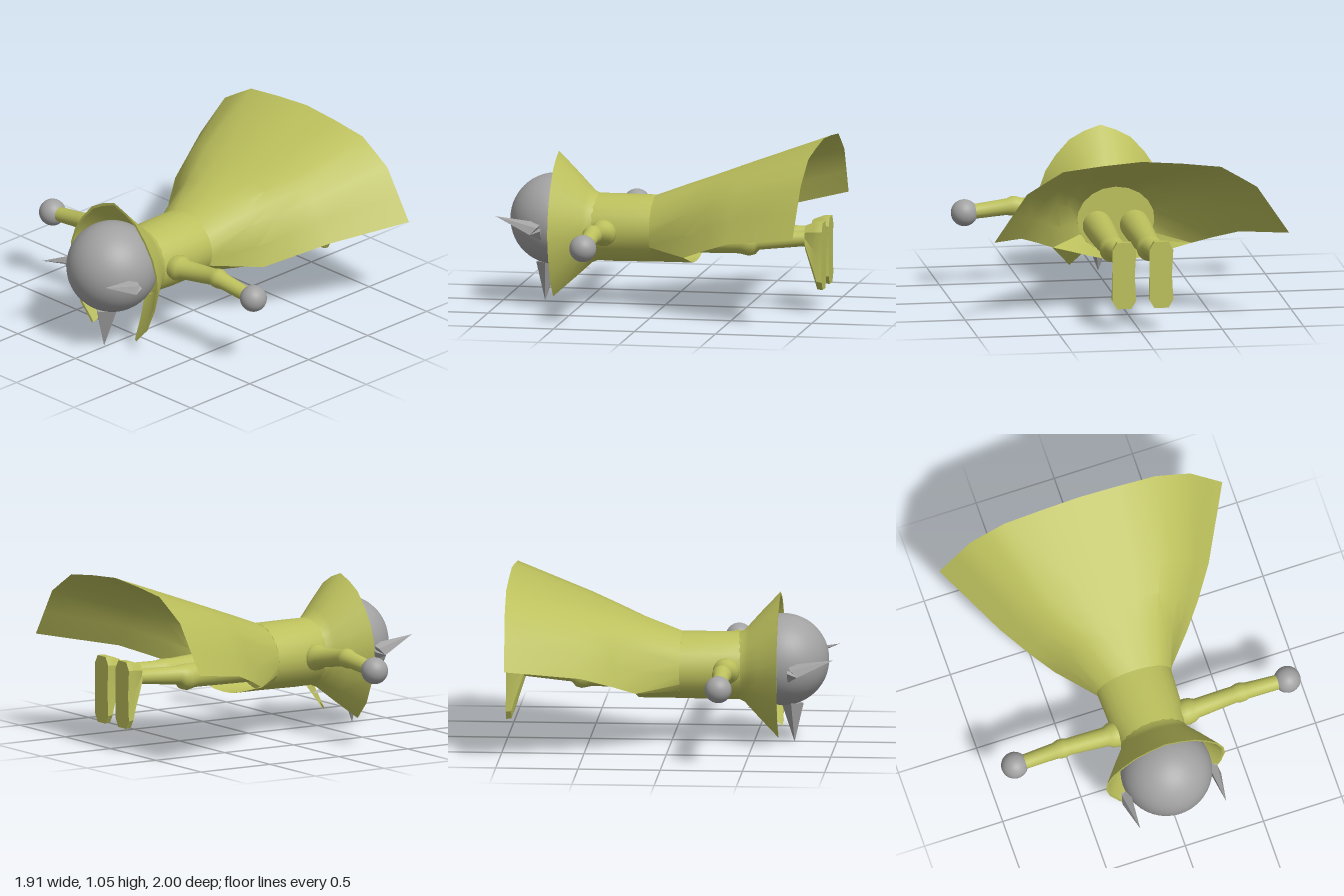
import * as THREE from 'three';
import { toCreasedNormals } from 'three/addons/utils/BufferGeometryUtils.js';
import { ConvexGeometry } from 'three/addons/geometries/ConvexGeometry.js';

const V = (x, y, z) => new THREE.Vector3(x, y, z);
const CX = -0.013; // body midline

// Skin a list of equal-sized rings (ordered towards +z, counter-clockwise seen from +z)
function loft(rings, { closed = true, crease = 0.7 } = {}) {
  const n = rings[0].length, pos = [];
  const tri = (...ps) => ps.forEach((p) => pos.push(p.x, p.y, p.z));
  for (let i = 0; i < rings.length - 1; i++) {
    for (let j = 0; j < (closed ? n : n - 1); j++) {
      const k = (j + 1) % n, a = rings[i], b = rings[i + 1];
      tri(a[j], a[k], b[j]);
      tri(a[k], b[k], b[j]);
    }
  }
  if (closed) {
    const first = rings[0], last = rings[rings.length - 1];
    for (let j = 1; j < n - 1; j++) {
      tri(first[0], first[j + 1], first[j]);
      tri(last[0], last[j], last[j + 1]);
    }
  }
  const g = new THREE.BufferGeometry();
  g.setAttribute('position', new THREE.Float32BufferAttribute(pos, 3));
  return toCreasedNormals(g, crease);
}

function ellipse(cx, cy, z, rx, ry = rx, n = 24) {
  return Array.from({ length: n }, (_, i) => {
    const a = (i / n) * Math.PI * 2;
    return V(cx + rx * Math.cos(a), cy + ry * Math.sin(a), z);
  });
}

// Mirror a half outline (centre point first) into a full open arch, from +x round to -x
function arch(half) {
  return [...half.slice(1).reverse(), ...half.map((p) => V(-p.x, p.y, p.z))];
}

export function createModel() {
  const olive = new THREE.MeshStandardMaterial({ color: 0xbcc05c, side: THREE.DoubleSide });
  olive.name = 'olive cloth';
  const grey = new THREE.MeshStandardMaterial({ color: 0xa2a2a2 });
  grey.name = 'grey skin';

  const model = new THREE.Group();
  const body = new THREE.Group();
  body.name = 'body';
  body.position.x = CX;
  model.add(body);
  const add = (name, geo, mat, parent = body) => {
    const m = new THREE.Mesh(geo, mat);
    m.name = name;
    parent.add(m);
    return m;
  };
  const hull = (pts) => new ConvexGeometry(pts.map((p) => V(...p)));

  // Head and pointed beard
  add('head', new THREE.SphereGeometry(0.279, 40, 28), grey).position.set(0, 0.509, 0.676);
  add('beard', hull([[0, 0, 0.745], [0.092, 0.25, 0.73], [-0.092, 0.25, 0.73],
    [0, 0.24, 0.80], [0.03, 0.24, 0.67], [-0.03, 0.24, 0.67]]), grey);
  add('throatPlate', hull([[0, 0.205, 0.46], [0.06, 0.21, 0.6], [-0.06, 0.21, 0.6],
    [0, 0.25, 0.62], [0, 0.225, 0.5]]), grey);

  // Pointed ears
  for (const s of [1, -1]) {
    const ear = new THREE.Group();
    ear.name = s > 0 ? 'leftEar' : 'rightEar';
    body.add(ear);
    add('earSpike', hull([[s * 0.275, 0.557, 1.0], [s * 0.316, 0.453, 0.78],
      [s * 0.25, 0.52, 0.72], [s * 0.25, 0.465, 0.75], [s * 0.305, 0.495, 0.74]]), grey, ear);
    add('earLobe', hull([[s * 0.316, 0.453, 0.78], [s * 0.305, 0.475, 0.72],
      [s * 0.25, 0.408, 0.72], [s * 0.24, 0.5, 0.72]]), grey, ear);
  }

  // Torso
  const waist = (a) => V(0.238 * Math.sin(a), 0.468 + 0.203 * Math.cos(a), 0.06);
  add('torso', loft([
    ellipse(0, 0.468, 0.06, 0.238, 0.203), ellipse(0, 0.467, 0.3, 0.228, 0.206),
    ellipse(0, 0.468, 0.44, 0.203, 0.205),
  ]), olive);

  // Flared collar, split below the chin
  const rim = [[0, 0.925], [0.1, 0.89], [0.19, 0.84], [0.275, 0.745], [0.337, 0.65], [0.372, 0.55],
    [0.381, 0.45], [0.355, 0.32], [0.29, 0.168], [0.19, 0.06]];
  const neck = (i) => {
    const a = (i / (rim.length - 1)) * 2.9;
    return [0.2 * Math.sin(a), 0.468 + 0.205 * Math.cos(a)];
  };
  const collarRing = (z, t, k) => arch(rim.map(([x, y], i) => {
    const [nx, ny] = neck(i);
    return V((nx + (x - nx) * t) * k, 0.48 + (ny + (y - ny) * t - 0.48) * k, z);
  }));
  add('collar', loft([
    collarRing(0.41, 0, 1), collarRing(0.445, 0.07, 1), collarRing(0.475, 0.2, 1),
    collarRing(0.54, 0.49, 1), collarRing(0.66, 1, 1),
    collarRing(0.66, 1, 0.96), collarRing(0.54, 0.49, 0.96), collarRing(0.46, 0.1, 0.95),
  ], { closed: false }), olive);

  // Cape: grows out of the waist, widening and rising into a faceted arch
  const arc = [[0, 1], [0.27, 0.96], [0.535, 0.9], [0.66, 0.76], [0.78, 0.62],
    [0.89, 0.31], [1, 0]];
  const capeRing = ([z, w, low, high, lag]) => arch(arc.map(([x, y]) =>
    V(x * w, low + (high - low) * y, z - lag * y)));
  const waistTop = arch(arc.map((_, i) => waist((i / (arc.length - 1)) * 2)));
  add('cape', loft([
    ...[[-0.955, 0.905, 0.575, 1.05, 0.02], [-0.51, 0.668, 0.495, 0.882, 0],
      [-0.33, 0.54, 0.425, 0.816, 0], [-0.19, 0.425, 0.362, 0.765, 0]].map(capeRing),
    waistTop,
  ], { closed: false, crease: 0.6 }), olive);

  // Underside of the robe, open at the hem where the legs come out
  const hem = [[0, 0.275], [0.1, 0.28], [0.2, 0.302], [0.31, 0.332], [0.425, 0.362]];
  add('robeUnderside', loft([
    arch(hem.map(([x, y]) => V(x, y, -0.19))),
    arch(hem.map((_, i) => waist(Math.PI + (2 - Math.PI) * i / (hem.length - 1)))),
  ], { closed: false }), olive);

  for (const s of [1, -1]) {
    const side = s > 0 ? 'left' : 'right';

    // Arm, built along z and turned sideways
    const arm = new THREE.Group();
    arm.name = side + 'Arm';
    arm.position.z = 0.343;
    model.add(arm);
    const sleeve = loft([
      [0.18, 0.466, 0.07], [0.225, 0.468, 0.082], [0.262, 0.47, 0.076], [0.29, 0.474, 0.06],
      [0.53, 0.508, 0.052], [0.555, 0.511, 0.059], [0.585, 0.51, 0.059], [0.615, 0.506, 0.05],
      [0.83, 0.482, 0.045],
    ].map(([d, y, r]) => ellipse(0, y, d, r)));
    sleeve.rotateY(s * Math.PI / 2);
    add('sleeve', sleeve, olive, arm);
    add('hand', new THREE.SphereGeometry(0.082, 28, 20), grey, arm).position.set(s * 0.872, 0.478, 0);

    // Leg
    const leg = new THREE.Group();
    leg.name = side + 'Leg';
    leg.position.x = s * 0.114;
    body.add(leg);
    add('trouserLeg', loft([
      [-0.92, 0.452, 0.043], [-0.6, 0.432, 0.057], [-0.575, 0.42, 0.074], [-0.54, 0.416, 0.08],
      [-0.505, 0.419, 0.076], [-0.48, 0.422, 0.073], [-0.1, 0.432, 0.088], [0.05, 0.436, 0.09],
    ].map(([z, y, r]) => ellipse(0, y, z, r)), { crease: 0.8 }), olive, leg);

    // Boot with a long many-sided sole, toes pointing down
    const sole = (z, w, lo, hi) => {
      const c = Math.min(0.05, (hi - lo) * 0.25), m = w * 0.6;
      return [[w, lo + c], [w * 0.88, (lo + hi) / 2], [w, hi - c], [m, hi],
        [-m, hi], [-w, hi - c], [-w * 0.88, (lo + hi) / 2], [-w, lo + c], [-m, lo], [m, lo]]
        .map(([x, y]) => V(x, y, z));
    };
    add('boot', loft([
      sole(-0.998, 0.073, 0.145, 0.555), sole(-0.965, 0.073, 0.15, 0.555),
      sole(-0.945, 0.068, 0.215, 0.552), sole(-0.887, 0.055, 0.395, 0.53),
    ], { crease: 0.4 }), olive, leg);
  }
  return model;
}
